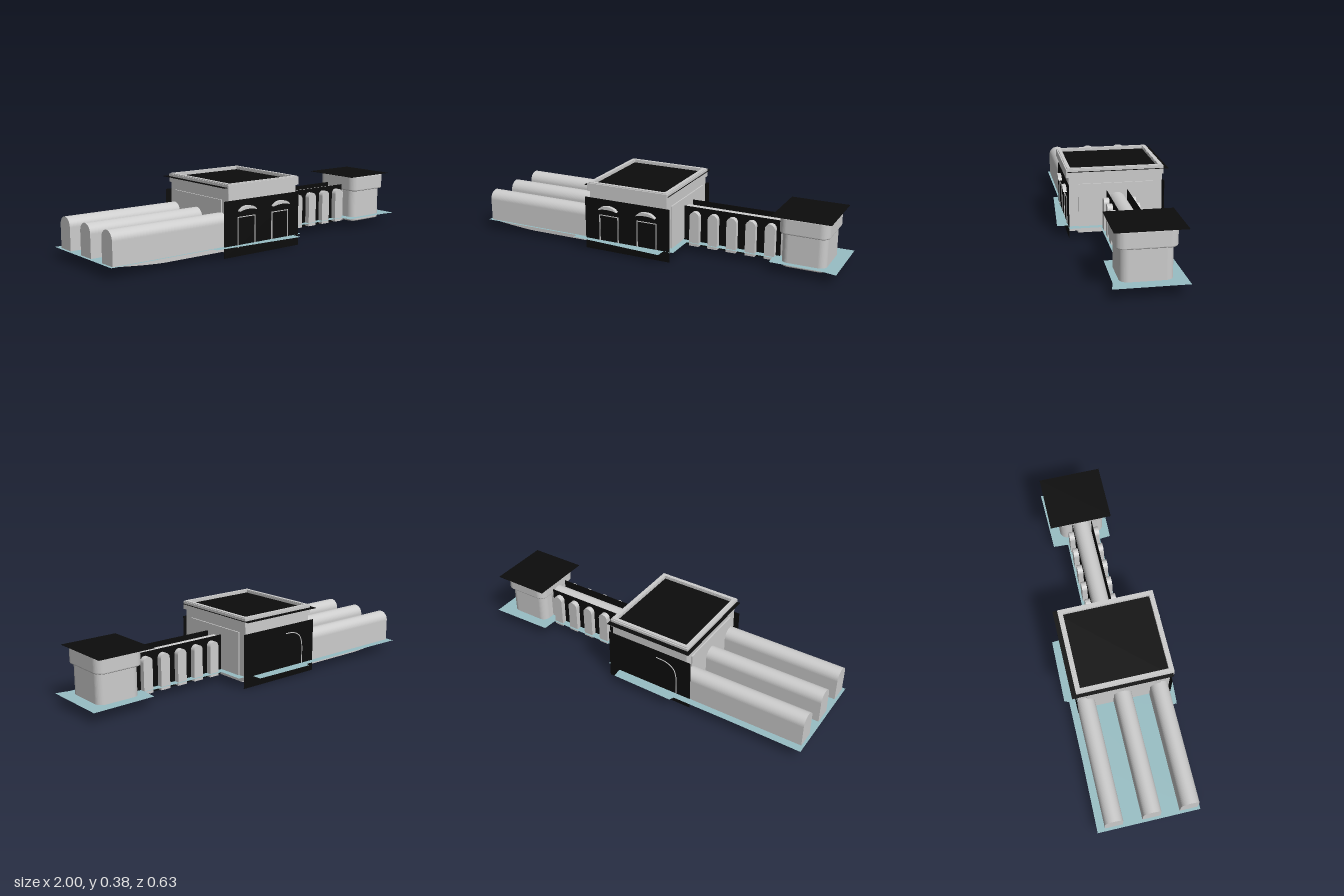
import * as THREE from 'three';

const stone = new THREE.MeshStandardMaterial({ color: 0xcccccc });
stone.name = 'pale stone';
const black = new THREE.MeshStandardMaterial({ color: 0x0c0c0c, side: THREE.DoubleSide });
black.name = 'black panel';
const teal = new THREE.MeshStandardMaterial({ color: 0x98bec4, side: THREE.DoubleSide });
teal.name = 'pale water';

export function createModel() {
  const model = new THREE.Group();

  const add = (name, geometry, material = stone) => {
    const mesh = new THREE.Mesh(geometry, material);
    mesh.name = name;
    model.add(mesh);
    return mesh;
  };

  // Box given by its limits on each axis
  const box = (name, x0, x1, y0, y1, z0, z1, material) => {
    const mesh = add(name, new THREE.BoxGeometry(x1 - x0, y1 - y0, z1 - z0), material);
    mesh.position.set((x0 + x1) / 2, (y0 + y1) / 2, (z0 + z1) / 2);
    return mesh;
  };

  // Rectangle with rounded corners, centred on the origin
  const roundedRect = (w, h, r) => {
    const s = new THREE.Shape(), a = w / 2, b = h / 2;
    s.moveTo(-a + r, -b);
    s.lineTo(a - r, -b).absarc(a - r, -b + r, r, -Math.PI / 2, 0);
    s.lineTo(a, b - r).absarc(a - r, b - r, r, 0, Math.PI / 2);
    s.lineTo(-a + r, b).absarc(-a + r, b - r, r, Math.PI / 2, Math.PI);
    s.lineTo(-a, -b + r).absarc(-a + r, -b + r, r, Math.PI, Math.PI * 1.5);
    return s;
  };

  // Flat-bottomed outline with a round top
  const archShape = (halfWidth, y0, y1) => {
    const s = new THREE.Shape();
    s.moveTo(-halfWidth, y0);
    s.lineTo(halfWidth, y0);
    s.lineTo(halfWidth, y1 - halfWidth);
    s.absarc(0, y1 - halfWidth, halfWidth, 0, Math.PI);
    s.lineTo(-halfWidth, y0);
    return s;
  };

  // Arched hall running along x
  const hall = (name, x0, x1, z, shape) => {
    const g = new THREE.ExtrudeGeometry(shape, {
      depth: x1 - x0, steps: 16, bevelEnabled: false, curveSegments: 16,
    });
    g.rotateY(Math.PI / 2);
    g.translate(x0, 0, z);
    return add(name, g);
  };

  // Vertical slab with an outline in x and z
  const slab = (name, shape, x, z, y0, y1, bevel = 0) => {
    const g = new THREE.ExtrudeGeometry(shape, {
      depth: y1 - y0 - 2 * bevel, bevelEnabled: bevel > 0, bevelSize: bevel, bevelOffset: -bevel,
      bevelThickness: bevel, bevelSegments: 3, curveSegments: 10,
    });
    g.rotateX(-Math.PI / 2);
    g.translate(x, y0 + bevel, z);
    return add(name, g);
  };

  // Main block, side panels and cornice
  box('mainBlock', -0.325, 0.125, 0.032, 0.335, -0.25, 0.248);
  box('sidePanelLeft', 0.124, 0.132, 0.052, 0.29, -0.203, 0.197);
  box('sidePanelRight', -0.332, -0.324, 0.052, 0.29, -0.203, 0.197);
  const ring = (w, d, t) => {
    const s = roundedRect(w, d, 0.003);
    s.holes.push(roundedRect(w - 2 * t, d - 2 * t, 0.003));
    return s;
  };
  slab('cornice', ring(0.47, 0.52, 0.026), -0.1, 0.003, 0.329, 0.372);
  slab('corniceLip', ring(0.458, 0.506, 0.018), -0.1, 0.003, 0.37, 0.376);
  box('roofPanel', -0.353, 0.138, 0.356, 0.359, -0.282, 0.255, black);

  // Foundation slab with a round bowl in its underside
  const foundation = roundedRect(0.4, 0.4, 0.01);
  foundation.holes.push(new THREE.Path().absarc(0, 0, 0.052, 0, Math.PI * 2, true));
  slab('foundation', foundation, -0.1, 0, 0.012, 0.034);

  // Front and back wall panels
  box('frontPanel', -0.355, 0.144, 0, 0.29, 0.25, 0.252, black);
  box('backPanel', -0.355, 0.144, 0, 0.29, -0.26, -0.258, black);

  // Front doors with slim frames and curved hoods
  for (const x of [-0.212, 0.012]) {
    for (const s of [-1, 1]) {
      box('doorFrameSide', x + s * 0.055 - 0.0025, x + s * 0.055 + 0.0025, 0.045, 0.203, 0.25, 0.255);
    }
    box('doorFrameTop', x - 0.055, x + 0.055, 0.199, 0.203, 0.25, 0.255);
    const hood = new THREE.Shape();
    hood.moveTo(-0.056, 0.233);
    hood.quadraticCurveTo(0, 0.25, 0.056, 0.233);
    hood.quadraticCurveTo(0.04, 0.258, 0, 0.258);
    hood.quadraticCurveTo(-0.04, 0.258, -0.056, 0.233);
    const g = new THREE.ExtrudeGeometry(hood, { depth: 0.024, bevelEnabled: false, curveSegments: 10 });
    g.translate(x, 0, 0.248);
    add('doorHood', g);
  }

  // Slim arched moulding on the back wall
  const moulding = new THREE.CatmullRomCurve3([
    [-0.15, 0.245], [-0.21, 0.24], [-0.253, 0.215], [-0.27, 0.17], [-0.272, 0.06],
  ].map(([x, y]) => new THREE.Vector3(x, y, -0.26)));
  add('backMoulding', new THREE.TubeGeometry(moulding, 24, 0.003, 6));

  // Three long halls whose floors rise toward the far end
  for (const z of [-0.21, -0.01, 0.19]) {
    const mesh = hall('longHall', -0.985, -0.325, z, archShape(0.048, 0.034, 0.225));
    const p = mesh.geometry.attributes.position;
    for (let i = 0; i < p.count; i++) {
      const t = Math.max(0, (-0.70 - p.getX(i)) / 0.285);
      if (p.getY(i) < 0.1) p.setY(i, p.getY(i) + 0.024 * t ** 1.4);
    }
    mesh.geometry.computeVertexNormals();
  }

  // Connecting gallery with black walls and arched bays
  const zc = -0.007;
  hall('gallery', 0.12, 0.72, zc, archShape(0.047, 0.034, 0.238));
  for (const s of [-1, 1]) {
    const zw = zc + s * 0.055;
    box('galleryPanel', 0.135, 0.675, 0.034, 0.25, zw - 0.001, zw + 0.001, black);
    for (let i = 0; i < 5; i++) {
      const g = new THREE.ExtrudeGeometry(archShape(0.027, 0.04, 0.23), {
        depth: 0.029, bevelEnabled: false, curveSegments: 10,
      });
      g.translate(0.204 + i * 0.105, 0, zc + (s > 0 ? 0.056 : -0.085));
      add('galleryBay', g);
    }
  }

  // End tower with a wider cap and a black top
  slab('tower', roundedRect(0.235, 0.25, 0.04), 0.815, -0.003, 0.034, 0.22, 0.008);
  slab('towerCap', roundedRect(0.26, 0.29, 0.045), 0.815, -0.003, 0.214, 0.302, 0.008);
  box('towerRoofPanel', 0.65, 0.96, 0.302, 0.304, -0.187, 0.155, black);

  // Sheet of water around the footprint, as x and z corners
  const shore = [
    [-1, -0.3], [-0.62, -0.295], [-0.28, -0.295], [-0.27, -0.32], [0.08, -0.315], [0.085, -0.25],
    [0.165, -0.245], [0.165, -0.105], [0.65, -0.1], [0.655, -0.183], [1, -0.19], [1, 0.17],
    [0.93, 0.155], [0.65, 0.15], [0.645, 0.09], [0.165, 0.085], [0.165, 0.252], [0.11, 0.255],
    [0.108, 0.312], [-0.1, 0.297], [-0.42, 0.275], [-0.42, 0.248], [-1, 0.25],
  ];
  const water = new THREE.ShapeGeometry(new THREE.Shape(shore.map(([x, z]) => new THREE.Vector2(x, -z))));
  water.rotateX(-Math.PI / 2);
  add('water', water, teal).position.y = 0.058;

  return model;
}
